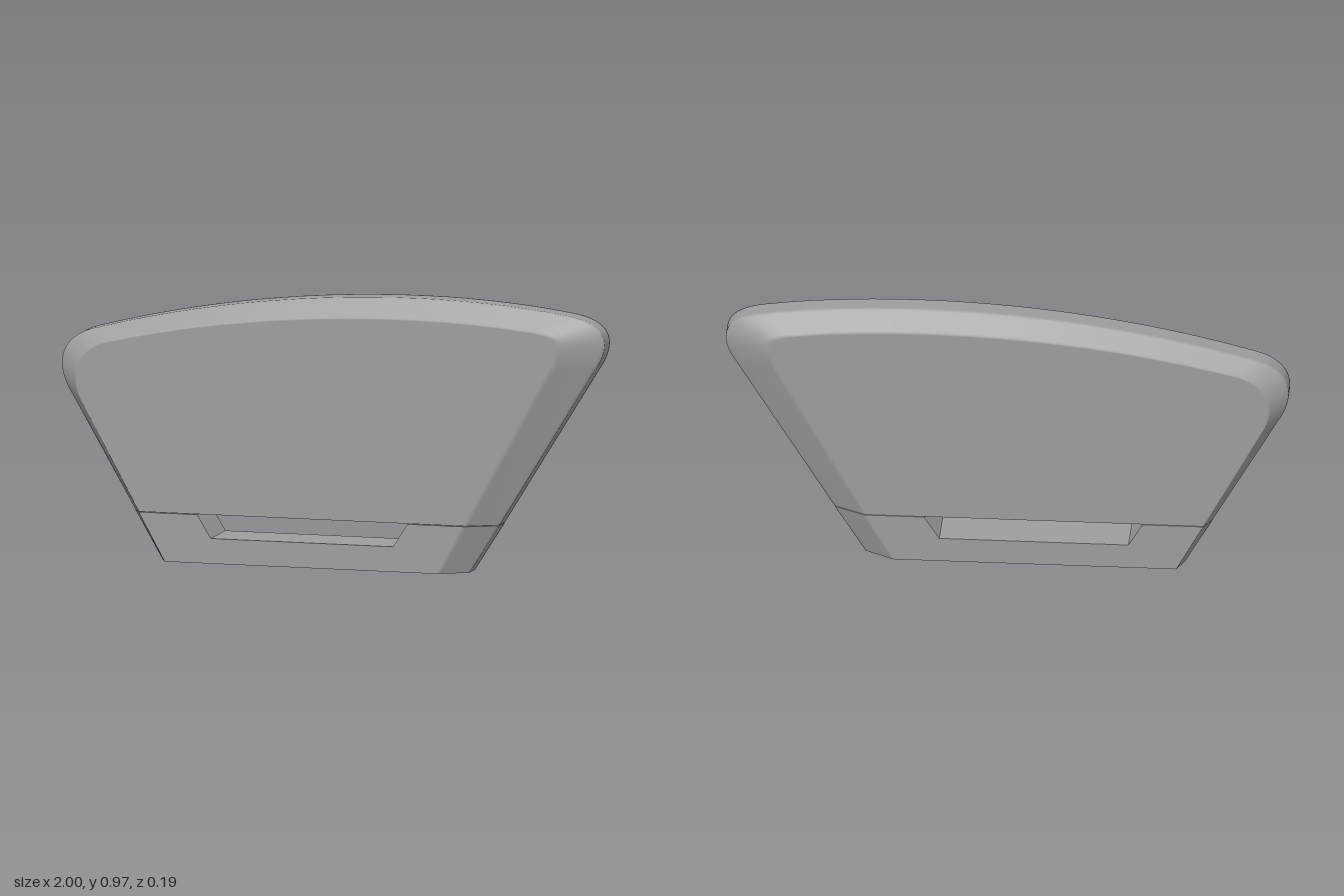
import * as THREE from 'three';

const FACE_Z = 0.094; // flat front and back faces
const RIM_Z = 0.036; // edges of the outer rim
const SEAM_Y = 0.175; // joint between body and base
const BASE_TOP = SEAM_Y - 0.002; // hairline gap below the body

// Layers from front to rim: [blend from face to rim outline, z].
// Close pairs keep the bevel edges narrow but softly shaded.
const SOFT = 0.08;
const bevelZ = (t) => FACE_Z + (RIM_Z - FACE_Z) * t;
const FRONT_LAYERS = [
  [-SOFT, FACE_Z], [0, FACE_Z],
  [SOFT, bevelZ(SOFT)], [1 - SOFT, bevelZ(1 - SOFT)],
  [1, RIM_Z], [1, RIM_Z - 0.006],
];
const LAYERS = [...FRONT_LAYERS, ...FRONT_LAYERS.map(([t, z]) => [t, -z]).reverse()];

// Closed solid from two matching counterclockwise outlines: face and wider rim.
// A point listed twice makes a hard corner.
function bevelledSlab(face, rim) {
  const n = face.length;
  const positions = [];
  const index = [];
  const addLoop = ([t, z]) => {
    const loop = face.map((p, i) => p.clone().lerp(rim[i], t));
    for (const p of loop) positions.push(p.x, p.y, z);
    return loop;
  };

  // Bevels and rim
  LAYERS.forEach(addLoop);
  for (let k = 0; k < LAYERS.length - 1; k++) {
    for (let i = 0; i < n; i++) {
      const j = (i + 1) % n;
      if (face[i].equals(face[j])) continue;
      const a = k * n + i, b = k * n + j;
      index.push(a, a + n, b, b, a + n, b + n);
    }
  }

  // Flat front and back
  const front = LAYERS.length * n;
  const back = front + n;
  const cap = addLoop(LAYERS[0]);
  addLoop(LAYERS[LAYERS.length - 1]);
  for (const [a, b, c] of THREE.ShapeUtils.triangulateShape(cap, [])) {
    index.push(front + a, front + b, front + c, back + a, back + c, back + b);
  }

  const geometry = new THREE.BufferGeometry();
  geometry.setAttribute('position', new THREE.Float32BufferAttribute(positions, 3));
  geometry.setIndex(index);
  geometry.computeVertexNormals();
  return geometry;
}

// Body outline: straight sides, two rounded corners and an arched top
function bodyOutline(left, right, rightCorner, top, leftCorner) {
  const shape = new THREE.Shape();
  shape.moveTo(left, SEAM_Y);
  shape.lineTo(right, SEAM_Y);
  shape.lineTo(rightCorner[0], rightCorner[1]);
  shape.bezierCurveTo(...rightCorner.slice(2));
  shape.bezierCurveTo(...top);
  shape.bezierCurveTo(...leftCorner);
  const [start, end, ...curve] = shape.getPoints(20);
  return [start, end, end.clone(), ...curve, start.clone()];
}

// Base outline with the slot notched into its top edge, all corners hard
function baseOutline(bottomLeft, bottomRight, topRight, topLeft) {
  return [
    [bottomLeft, 0], [bottomRight, 0], [topRight, BASE_TOP],
    [0.29, BASE_TOP], [0.235, 0.09], [-0.435, 0.09], [-0.485, BASE_TOP],
    [topLeft, BASE_TOP],
  ].flatMap(([x, y]) => [new THREE.Vector2(x, y), new THREE.Vector2(x, y)]);
}

export function createModel() {
  const group = new THREE.Group();
  group.name = 'bevelledPanel';
  const material = new THREE.MeshStandardMaterial({ color: 0x9d9d9d });

  const add = (name, face, rim) => {
    const mesh = new THREE.Mesh(bevelledSlab(face, rim), material);
    mesh.name = name;
    group.add(mesh);
  };

  // Flared body with bevelled edges
  add('body',
    bodyOutline(-0.7, 0.5,
      [0.82, 0.75, 0.865, 0.83, 0.86, 0.865, 0.76, 0.878],
      [0.35, 0.93, -0.25, 0.915, -0.8, 0.782],
      [-0.91, 0.76, -0.97, 0.68, -0.91, 0.56]),
    bodyOutline(-0.73, 0.61,
      [0.96, 0.74, 1.03, 0.845, 1.0, 0.915, 0.86, 0.935],
      [0.4, 1.005, -0.25, 0.988, -0.87, 0.818],
      [-0.99, 0.79, -1.04, 0.7, -0.96, 0.575]));

  // Slotted base below the seam
  add('base',
    baseOutline(-0.605, 0.4, 0.5, -0.7),
    baseOutline(-0.63, 0.5, 0.61, -0.73));

  return group;
}
